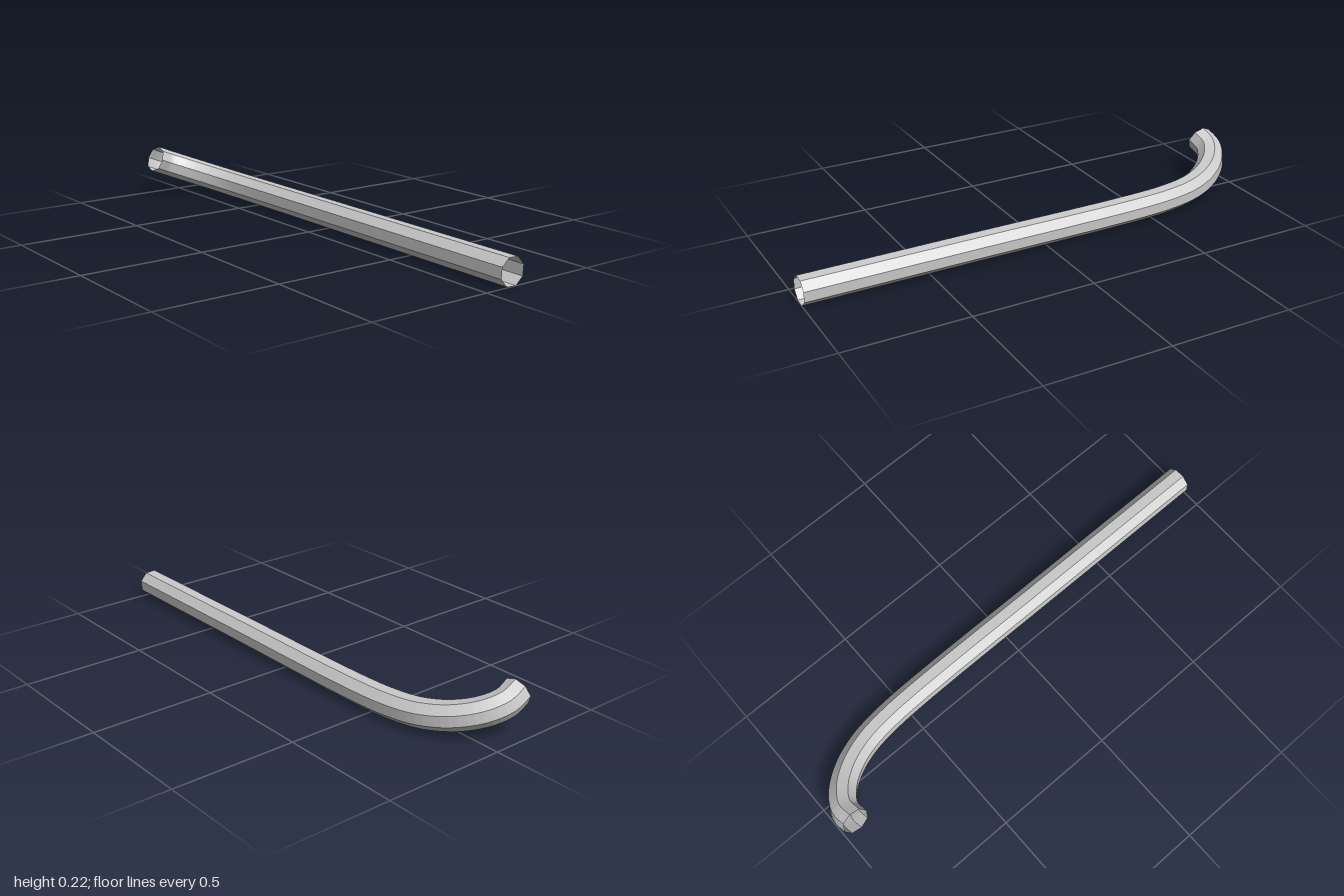
import * as THREE from 'three';

const SIDES = 8;
const RADIUS = 0.0563;
const TILT = THREE.MathUtils.degToRad(22);  // lean of the hook's plane
const TWIST = THREE.MathUtils.degToRad(4);  // turn of the octagon about the rod

// Open octagonal skin swept along a curve that lies in one plane
function sweep(curve, steps, planeNormal) {
  const positions = [];
  const index = [];
  for (let i = 0; i <= steps; i++) {
    const centre = curve.getPoint(i / steps);
    const tangent = curve.getTangent(i / steps);
    const side = new THREE.Vector3().crossVectors(planeNormal, tangent).normalize();
    for (let k = 0; k < SIDES; k++) {
      const a = TWIST + (k / SIDES) * Math.PI * 2;
      const p = centre.clone()
        .addScaledVector(side, RADIUS * Math.cos(a))
        .addScaledVector(planeNormal, RADIUS * Math.sin(a));
      positions.push(p.x, p.y, p.z);
      if (i < steps) {
        const next = (k + 1) % SIDES;
        const a0 = i * SIDES + k, b0 = i * SIDES + next;
        index.push(a0, b0, b0 + SIDES, a0, b0 + SIDES, a0 + SIDES);
      }
    }
  }
  const geometry = new THREE.BufferGeometry();
  geometry.setAttribute('position', new THREE.Float32BufferAttribute(positions, 3));
  geometry.setIndex(index);
  geometry.computeVertexNormals();
  return geometry;
}

export function createModel() {
  const group = new THREE.Group();
  group.name = 'hookedRod';

  // Centre line: x along the rod, u across it within the tilted plane
  const path = [
    [1, 0], [0.3, 0.001], [-0.4, 0.002], [-0.59, 0.012], [-0.717, 0.035],
    [-0.824, 0.083], [-0.904, 0.153], [-0.943, 0.228], [-0.939, 0.297],
  ].map(([x, u]) => new THREE.Vector3(
    x, 0.0545 + u * Math.sin(TILT), -0.121 + u * Math.cos(TILT)));
  const curve = new THREE.CatmullRomCurve3(path);
  const planeNormal = new THREE.Vector3(0, Math.cos(TILT), -Math.sin(TILT));

  const material = new THREE.MeshStandardMaterial({
    color: 0xcccccc, flatShading: true, side: THREE.DoubleSide,
  });
  const rod = new THREE.Mesh(sweep(curve, 32, planeNormal), material);
  rod.name = 'bentTube';
  group.add(rod);
  return group;
}
